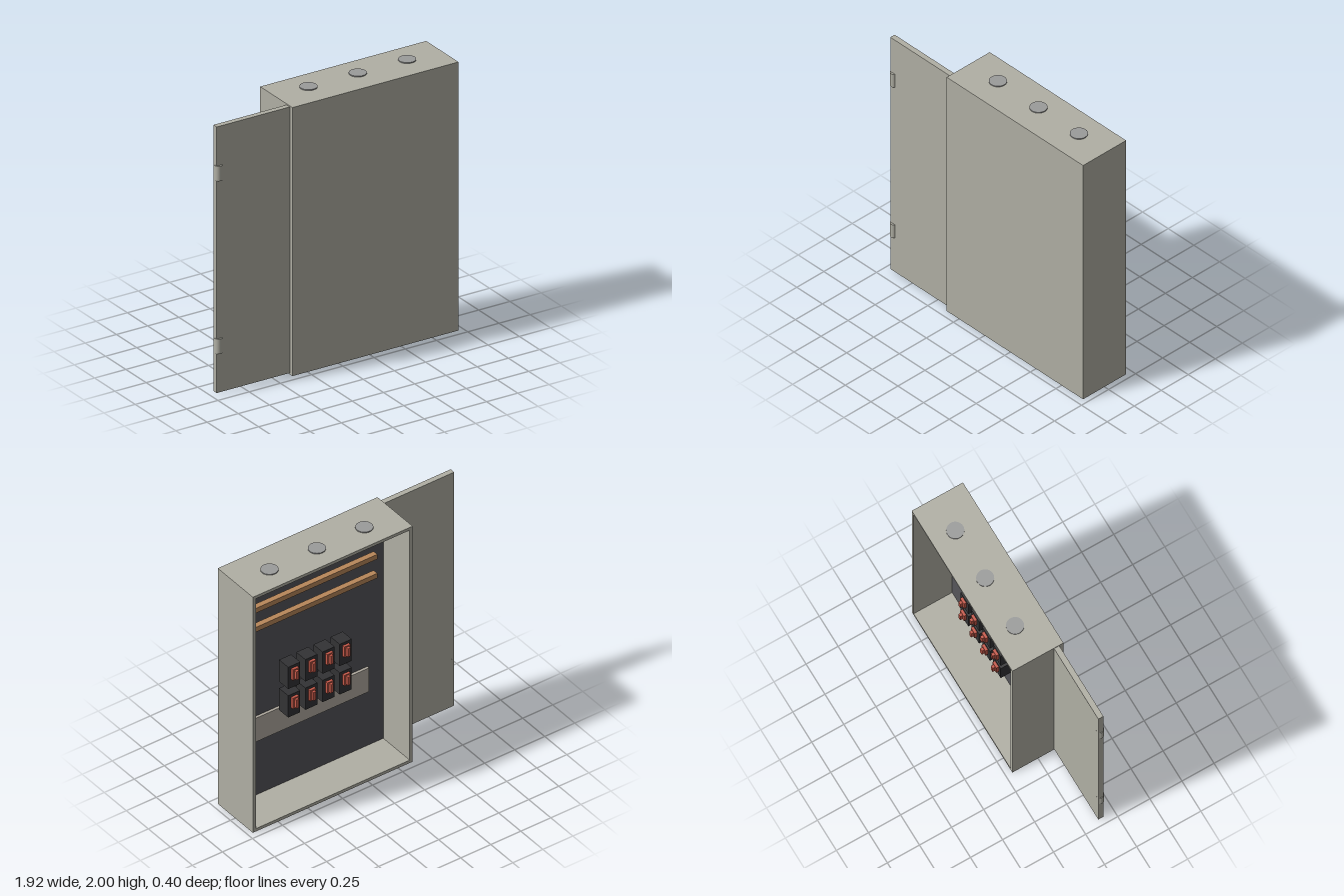
import * as THREE from 'three';

const mat = (color) => new THREE.MeshStandardMaterial({ color });

export function createModel() {
  const model = new THREE.Group();
  const paint = mat(0xb0afa4), plate = mat(0x55555a), copper = mat(0xb8875a);
  const dark = mat(0x333335), red = mat(0xc85a4a), zinc = mat(0x9b9c9b), label = mat(0xb2aca1);

  // Box given by its min and max on each axis
  const box = (name, material, [x0, x1], [y0, y1], [z0, z1], parent = model) => {
    const mesh = new THREE.Mesh(new THREE.BoxGeometry(x1 - x0, y1 - y0, z1 - z0), material);
    mesh.position.set((x0 + x1) / 2, (y0 + y1) / 2, (z0 + z1) / 2);
    mesh.name = name;
    parent.add(mesh);
    return mesh;
  };
  const cylinder = (name, material, r, h, x, y, z) => {
    const mesh = new THREE.Mesh(new THREE.CylinderGeometry(r, r, h, 32), material);
    mesh.position.set(x, y, z);
    mesh.name = name;
    model.add(mesh);
  };

  // Cabinet: a rectangular sleeve closed on the +z side, open at the other
  const L = -0.37, R = 0.96, B = 0.005, T = 1.993, t = 0.024, midX = (L + R) / 2;
  const outline = new THREE.Shape([[L, B], [R, B], [R, T], [L, T]].map((p) => new THREE.Vector2(...p)));
  outline.holes.push(new THREE.Path(
    [[L + t, B + t], [L + t, T - t], [R - t, T - t], [R - t, B + t]].map((p) => new THREE.Vector2(...p))));
  const shell = new THREE.Mesh(
    new THREE.ExtrudeGeometry(outline, { depth: 0.375, bevelEnabled: false }), paint);
  shell.position.z = -0.2;
  shell.name = 'cabinetWalls';
  model.add(shell);
  box('cabinetPanel', paint, [L, R], [B, T], [0.175, 0.198]);
  box('mountingPlate', plate, [L + t, R - t], [B + t, T - t], [0.1, 0.12]);

  // Door leaf with two hinge barrels
  box('door', paint, [-0.955, L + 0.01], [0.015, 1.985], [0.125, 0.165]);
  for (const y of [0.36, 1.64]) cylinder('hinge', paint, 0.028, 0.11, -0.932, y, 0.152);

  // Knockout discs through the roof
  for (const dx of [-0.395, 0, 0.395]) cylinder('knockout', zinc, 0.061, 0.038, midX + dx, 1.981, -0.02);

  // Busbars and the label strip
  for (const y of [1.49, 1.65]) {
    box('busbar', copper, [midX - 0.54, midX + 0.54], [y - 0.02, y + 0.02], [0.03, 0.072]);
  }
  box('labelStrip', label, [midX - 0.505, midX + 0.505], [0.5, 0.7], [0.075, 0.095]);

  // Two rows of four breakers, each with a stepped toggle
  for (const y of [0.8, 1.04]) {
    for (let i = 0; i < 4; i++) {
      const breaker = new THREE.Group();
      breaker.name = 'breaker';
      breaker.position.set(midX + (i - 1.5) * 0.143, y, 0);
      box('breakerBody', dark, [-0.05, 0.05], [-0.092, 0.092], [-0.055, 0.048], breaker);
      box('toggleBase', red, [-0.025, 0.025], [-0.02, 0.07], [-0.075, -0.055], breaker);
      box('toggleLever', red, [-0.011, 0.011], [-0.01, 0.06], [-0.095, -0.075], breaker);
      model.add(breaker);
    }
  }
  return model;
}
